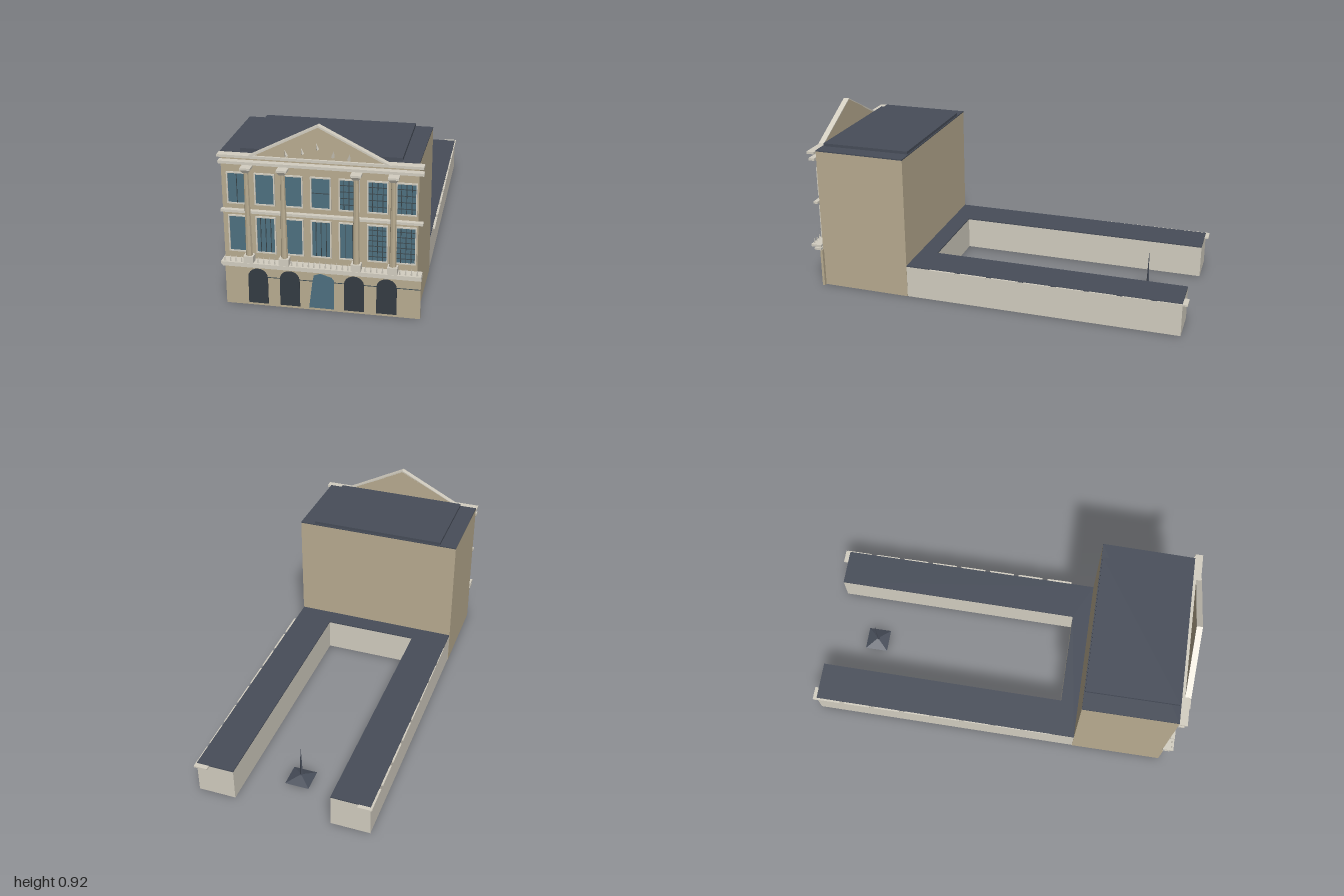
import * as THREE from 'three';

const mat = (color) => new THREE.MeshStandardMaterial({ color, flatShading: true, side: THREE.DoubleSide });
const wall = mat(0xb9ac91), stone = mat(0xd3cec1), slate = mat(0x474d59);
const glass = mat(0x4e7080), dark = mat(0x343c43), bar = mat(0x3c4a50);

function add(parent, name, geometry, material, x = 0, y = 0, z = 0) {
  const mesh = new THREE.Mesh(geometry, material);
  mesh.name = name;
  mesh.position.set(x, y, z);
  parent.add(mesh);
  return mesh;
}

// Box given by its lower and upper limits
function block(parent, name, material, x0, x1, y0, y1, z0, z1) {
  const g = new THREE.BoxGeometry(x1 - x0, y1 - y0, z1 - z0);
  return add(parent, name, g, material, (x0 + x1) / 2, (y0 + y1) / 2, (z0 + z1) / 2);
}

const outline = (pts) => new THREE.Shape(pts.map(([x, y]) => new THREE.Vector2(x, y)));
const plate = (shape, depth) => new THREE.ExtrudeGeometry(shape, { depth, bevelEnabled: false, curveSegments: 5 });

// Prism standing on a plan outline of [x, z] corners
function prism(parent, name, material, plan, y0, y1) {
  const g = plate(outline(plan.map(([x, z]) => [x, -z])), y1 - y0);
  g.rotateX(-Math.PI / 2);
  return add(parent, name, g, material, 0, y0, 0);
}

function createWindow(name, x, y0, y1, verticals, horizontals) {
  const g = new THREE.Group();
  g.name = name;
  const w = 0.047, t = 0.006;
  const frame = outline([[-w, y0], [w, y0], [w, y1], [-w, y1]]);
  frame.holes.push(outline([[-w + t, y0 + t], [-w + t, y1 - t], [w - t, y1 - t], [w - t, y0 + t]]));
  add(g, 'frame', plate(frame, 0.008), stone, 0, 0, 0.935);
  block(g, 'pane', glass, -w + t, w - t, y0 + t, y1 - t, 0.934, 0.938);
  for (let i = 1; i <= verticals; i++) {
    const bx = -w + (2 * w * i) / (verticals + 1);
    block(g, 'verticalBar', bar, bx - 0.0015, bx + 0.0015, y0 + t, y1 - t, 0.937, 0.941);
  }
  for (let i = 1; i <= horizontals; i++) {
    const by = y0 + ((y1 - y0) * i) / (horizontals + 1);
    block(g, 'crossBar', bar, -w + t, w - t, by - 0.0015, by + 0.0015, 0.937, 0.941);
  }
  g.position.x = x;
  return g;
}

function createColumn(x) {
  const g = new THREE.Group();
  g.name = 'column';
  block(g, 'pedestal', stone, -0.023, 0.023, 0.235, 0.27, 0.95, 0.988);
  add(g, 'shaft', new THREE.CylinderGeometry(0.011, 0.016, 0.41, 8), wall, 0, 0.475, 0.966);
  const capital = new THREE.CylinderGeometry(0.032, 0.018, 0.016, 4);
  capital.rotateY(Math.PI / 4);
  add(g, 'capital', capital, stone, 0, 0.683, 0.966);
  block(g, 'abacus', stone, -0.024, 0.024, 0.69, 0.7, 0.945, 0.988);
  g.position.x = x;
  return g;
}

export function createModel() {
  const model = new THREE.Group();
  model.name = 'palace';

  // Main block with slate roof
  const plan = [[-0.455, 0.455], [0.445, 0.455], [0.437, 0.935], [-0.455, 0.935]];
  prism(model, 'mainBlock', wall, plan, 0, 0.752);
  prism(model, 'mainRoof', slate, plan, 0.752, 0.758);
  block(model, 'roofSlab', slate, -0.365, 0.362, 0.757, 0.773, 0.46, 0.928);
  block(model, 'groundFloorFront', wall, -0.455, 0.455, 0, 0.207, 0.93, 0.943);

  // Low courtyard wings in a U
  const wings = [[-0.445, -0.98], [-0.245, -0.98], [-0.257, 0.36], [0.245, 0.36],
    [0.257, -0.975], [0.45, -0.975], [0.443, 0.455], [-0.453, 0.455]];
  prism(model, 'courtyardWings', stone, wings, 0, 0.17);
  prism(model, 'wingRoofs', slate, wings, 0.17, 0.176);
  for (const s of [-1, 1]) {
    for (let i = 0; i < 8; i++) {
      const z = -0.99 + i * 0.168;
      block(model, 'eavesStrip', stone, s * 0.45 - 0.006, s * 0.45 + 0.006, 0.165, 0.173, z, z + 0.14);
    }
    block(model, 'endCornice', stone, s * 0.42 - 0.035, s * 0.42 + 0.035, 0.165, 0.173, -1, -0.97);
  }

  // Arched doors, the middle one glazed and uneven
  for (const x of [-0.3, -0.15, 0.15, 0.3]) {
    const arch = outline([[-0.047, 0.012], [0.047, 0.012], [0.047, 0.15]]);
    arch.absellipse(0, 0.148, 0.046, 0.041, 0, Math.PI, false);
    add(model, 'archedDoor', plate(arch, 0.005), dark, x, 0, 0.941);
  }
  const middle = outline([[-0.06, 0.012], [0.057, 0.012], [0.057, 0.16], [0.045, 0.174],
    [-0.006, 0.189], [-0.036, 0.178], [-0.043, 0.145]]);
  add(model, 'middleDoor', plate(middle, 0.005), glass, 0, 0, 0.941);
  block(model, 'stringLine', bar, -0.255, 0.453, 0.147, 0.15, 0.941, 0.945);

  // Two rows of windows with their glazing bars [vertical, horizontal]
  const upper = [[1, 0], [0, 0], [0, 0], [0, 1], [3, 4], [3, 4], [3, 4]];
  const lower = [[0, 0], [3, 0], [0, 0], [3, 0], [2, 0], [3, 6], [3, 6]];
  for (let i = 0; i < 7; i++) {
    const x = (i - 3) * 0.128;
    model.add(createWindow('upperWindow', x, 0.508, 0.662, ...upper[i]));
    model.add(createWindow('lowerWindow', x, 0.27, 0.452, ...lower[i]));
  }

  // Horizontal cornices: y limits and front depth
  for (const [y0, y1, z] of [[0.207, 0.219, 0.972], [0.224, 0.237, 0.99], [0.471, 0.483, 0.957],
    [0.708, 0.721, 0.965], [0.743, 0.755, 0.975]]) {
    block(model, 'cornice', stone, -0.46, 0.46, y0, y1, 0.934, z);
  }

  // Columns and balustrade
  for (const x of [-0.33, -0.165, 0.165, 0.33]) model.add(createColumn(x));
  for (let i = 0; i < 35; i++) {
    add(model, 'baluster', new THREE.ConeGeometry(0.005, 0.034, 4), stone, -0.442 + i * 0.026, 0.253, 0.978);
  }

  // Pediment with raking cornices and small relief figures
  const gable = outline([[-0.31, 0.755], [0.307, 0.755], [0, 0.91]]);
  add(model, 'pediment', plate(gable, 0.014), wall, 0, 0, 0.95);
  for (const s of [-1, 1]) {
    const rake = outline([[s * 0.32, 0.753], [0, 0.916], [0, 0.907], [s * 0.302, 0.753]]);
    add(model, 'rakingCornice', plate(rake, 0.03), stone, 0, 0, 0.95);
  }
  for (const [x, y] of [[-0.148, 0.777], [-0.075, 0.792], [-0.008, 0.817], [0.065, 0.785], [0.135, 0.777]]) {
    const figure = add(model, 'reliefFigure', new THREE.ConeGeometry(0.009, 0.032, 3), stone, x, y, 0.968);
    figure.rotation.z = -Math.sign(x) * 0.2;
  }

  // Courtyard spire on a flat square base
  const base = new THREE.CylinderGeometry(0.008, 0.088, 0.022, 4);
  base.rotateY(Math.PI / 4);
  add(model, 'spireBase', base, slate, 0, 0.011, -0.74);
  add(model, 'spire', new THREE.ConeGeometry(0.008, 0.2, 4), slate, 0, 0.12, -0.735);

  return model;
}
